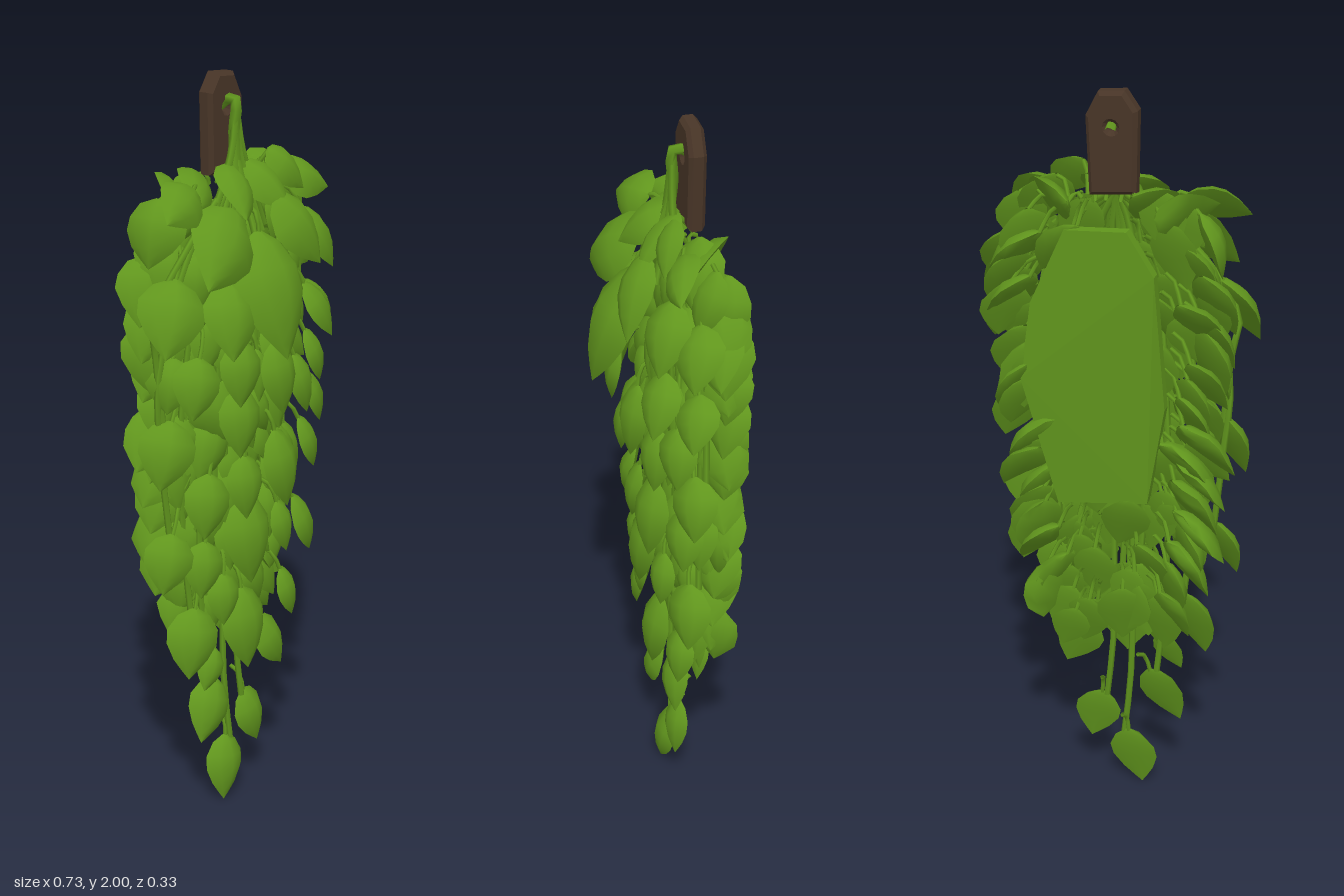
import * as THREE from 'three';

const leafGreen = new THREE.MeshStandardMaterial({ name: 'leafGreen', color: 0x61961d, side: THREE.DoubleSide });
const barkBrown = new THREE.MeshStandardMaterial({ name: 'barkBrown', color: 0x483527 });

// Small seeded generator for the filler foliage
let seed = 7;
const rnd = () => (seed = (seed * 16807) % 2147483647) / 2147483647;
const V = (x, y, z) => new THREE.Vector3(x, y, z);

// Piecewise linear lookup in [key, value] pairs sorted by rising key
function lookup(table, k) {
  if (k <= table[0][0]) return table[0][1];
  for (let i = 1; i < table.length; i++) {
    const [a, va] = table[i - 1], [b, vb] = table[i];
    if (k <= b) return va + (vb - va) * (k - a) / (b - a);
  }
  return table[table.length - 1][1];
}
// Front depth and half width of the hanging mass by height
const FRONT = [[0.2, -0.055], [0.6, -0.005], [1.2, 0.055], [1.4, 0.1], [1.6, 0.075], [1.75, 0]];
const HALF = [[0.4, 0.1], [0.55, 0.17], [0.8, 0.23], [1.2, 0.27], [1.5, 0.29], [1.72, 0.22]];
const surfaceZ = (x, y) => {
  const k = Math.max(0, 1 - Math.abs(x / 0.37) ** 2.6);
  return -0.09 + (lookup(FRONT, y) + 0.09) * k;
};
// Leaf tips swing outwards, most at the crown and at the trailing ends
const swing = (x, y) => x * (y > 1.55 ? 240 : y < 0.45 ? 200 : 60);
// Leaves turn sideways towards the flanks
const turn = (x) => THREE.MathUtils.clamp(x / 0.36, -1, 1) * 0.85;

// Plump pointed leaf with a domed face (+z) and a nearly flat back; tip along -y
function leafGeometry(length, width) {
  const rows = [[0, 0.12], [0.1, 0.62], [0.3, 0.98], [0.5, 0.97], [0.72, 0.66], [0.88, 0.3], [1, 0]];
  const cols = [-1, -0.55, 0, 0.55, 1], pos = [], idx = [];
  for (const bulge of [0.55, -0.08]) {
    const start = pos.length / 3;
    for (const [t, w] of rows) for (const u of cols) {
      const half = w * width / 2;
      pos.push(u * half, length * (0.5 - t),
        Math.sin(Math.PI * t) * length * 0.06 - half * 0.2 + (1 - u * u) * half * bulge);
    }
    for (let r = 0; r < rows.length - 1; r++) for (let c = 0; c < 4; c++) {
      const a = start + r * 5 + c, b = a + 5;
      if (bulge > 0) idx.push(a, b, a + 1, b, b + 1, a + 1);
      else idx.push(a, a + 1, b, b, a + 1, b + 1);
    }
  }
  const g = new THREE.BufferGeometry();
  g.setAttribute('position', new THREE.Float32BufferAttribute(pos, 3));
  g.setIndex(idx);
  return g;
}

function tube(points, radius, segments, name) {
  const curve = new THREE.CatmullRomCurve3(points);
  const m = new THREE.Mesh(new THREE.TubeGeometry(curve, segments, radius, 5), leafGreen);
  m.name = name;
  return m;
}

// Place a leaf and the short stalk that joins it to the vines
function addLeaf(group, x, y, z, length, angle, pitch, yaw) {
  const e = new THREE.Euler(-pitch, yaw, THREE.MathUtils.degToRad(angle), 'ZYX');
  const m4 = new THREE.Matrix4().makeRotationFromEuler(e).setPosition(x, y, z);
  const widen = Math.min(1.25, 1 / Math.cos(yaw * 0.7));
  const g = leafGeometry(length, length * 0.73 * widen).applyMatrix4(m4);
  // Press the foliage flat where it meets the wall
  const p = g.attributes.position;
  for (let i = 0; i < p.count; i++) {
    const back = Math.abs(p.getX(i)) < 0.2 ? -0.142 : -0.17;
    p.setZ(i, Math.max(p.getZ(i), back));
  }
  g.computeVertexNormals();
  const leaf = new THREE.Mesh(g, leafGreen);
  leaf.name = 'leaf';
  const base = V(0, length * 0.47, 0).applyMatrix4(m4);
  base.z = Math.max(base.z, -0.12);
  const root = V(base.x * 0.75, Math.min(base.y + 0.07, 1.72), Math.max(base.z - 0.04, -0.1));
  const mid = base.clone().lerp(root, 0.5).add(V(0, 0.015, 0.01));
  group.add(leaf, tube([base, mid, root], 0.006, 3, 'leafStalk'));
}

// Front leaves: x, y, length
const LEAVES = [
  [-0.03, 1.46, 0.33], [-0.18, 1.6, 0.26], [0.1, 1.6, 0.22], [-0.3, 1.44, 0.21], [-0.17, 1.42, 0.2],
  [-0.25, 1.71, 0.17], [0.14, 1.74, 0.15], [0.23, 1.7, 0.16], [0.23, 1.55, 0.19], [0.31, 1.53, 0.17],
  [0.31, 1.35, 0.15], [0.22, 1.36, 0.17], [0.04, 1.22, 0.2], [-0.12, 1.27, 0.17], [-0.1, 1.13, 0.18],
  [-0.24, 1.25, 0.16], [-0.3, 1.08, 0.18], [0.16, 1.17, 0.17], [0.25, 1.22, 0.16], [0.29, 1.09, 0.17],
  [0.09, 0.95, 0.22], [-0.19, 0.92, 0.17], [-0.06, 0.94, 0.17], [0.25, 0.97, 0.16], [-0.29, 0.78, 0.16],
  [-0.19, 0.74, 0.15], [-0.03, 0.78, 0.24], [0.12, 0.77, 0.15], [0.25, 0.73, 0.18], [-0.21, 0.53, 0.19],
  [-0.11, 0.63, 0.14], [-0.01, 0.51, 0.23], [0.18, 0.55, 0.15], [0.12, 0.42, 0.17], [-0.14, 0.43, 0.12],
  [-0.13, 0.3, 0.18], [0.06, 0.21, 0.17], [-0.05, 0.092, 0.185],
];

export function createModel() {
  const model = new THREE.Group();
  model.name = 'hangingPlant';

  // Wooden hanger plate with a peg hole
  const plate = new THREE.Shape([[-0.055, 1.755], [0.045, 1.745], [0.053, 1.93], [0.025, 1.985], [-0.03, 1.99], [-0.058, 1.95]]
    .map(([x, y]) => new THREE.Vector2(x, y)));
  plate.holes.push(new THREE.Path().absarc(-0.003, 1.91, 0.022, 0, Math.PI * 2, true));
  const hanger = new THREE.Mesh(new THREE.ExtrudeGeometry(plate, {
    depth: 0.025, bevelSize: 0.01, bevelThickness: 0.01, bevelSegments: 1, curveSegments: 6,
  }).translate(0, 0, -0.11), barkBrown);
  hanger.name = 'hangerPlate';
  model.add(hanger);

  // Looped stem threaded through the hole, fanning out below
  const stems = new THREE.Group();
  stems.name = 'hangingStems';
  stems.add(tube([V(0, 1.9, -0.115), V(0, 1.93, -0.08), V(0, 1.93, -0.05), V(-0.005, 1.85, -0.052), V(-0.01, 1.7, -0.035)], 0.015, 12, 'mainStem'));
  for (const [x, z] of [[-0.06, 0.01], [-0.02, 0.03], [0.04, 0], [0.1, -0.04], [-0.12, -0.05]])
    stems.add(tube([V(0, 1.92, -0.05), V(x * 0.2, 1.8, -0.045), V(x, 1.6, z)], 0.01, 8, 'fanStem'));
  model.add(stems);

  // Flat mass against the wall, curling forward at its lower end
  const outline = [[0.11, 1.65], [-0.05, 1.66], [-0.12, 1.55], [-0.15, 1.2], [-0.1, 0.92], [0.14, 0.89], [0.23, 1.24], [0.2, 1.45]];
  const backGeo = new THREE.ExtrudeGeometry(new THREE.Shape(outline.map(([x, y]) => new THREE.Vector2(x, y))),
    { depth: 0.03, bevelEnabled: false }).translate(0, 0, -0.147);
  const bp = backGeo.attributes.position;
  for (let i = 0; i < bp.count; i++) if (bp.getY(i) < 1) bp.setZ(i, bp.getZ(i) + 0.02);
  backGeo.computeVertexNormals();
  const backing = new THREE.Mesh(backGeo, leafGreen);
  backing.name = 'foliageBacking';
  model.add(backing);

  // Trailing vines: end x, end y
  const vines = new THREE.Group();
  vines.name = 'vines';
  for (const [x, y] of [[-0.02, 0.17], [0.03, 0.28], [-0.11, 0.38], [0.09, 0.48], [-0.18, 0.6], [0.18, 0.6],
    [0.23, 0.8], [-0.26, 0.84], [0.28, 1.15], [-0.28, 1.15], [0.0, 0.55], [-0.05, 0.6]]) {
    const midY = (1.72 + y) / 2;
    vines.add(tube([V(0, 1.74, -0.06), V(x * 0.7, 1.6, -0.04), V(x * 1.05 - 0.02, midY, -0.06),
      V(x - 0.02, y + 0.2, -0.065), V(x, y, -0.06)], 0.009, 16, 'vine'));
  }
  model.add(vines);

  // Outer leaves follow the bulging front
  const foliage = new THREE.Group();
  foliage.name = 'foliage';
  for (const [x, y, length] of LEAVES)
    addLeaf(foliage, x, y, surfaceZ(x, y), length, swing(x, y), y > 1.3 ? 0.34 : 0.12, turn(x));

  // Inner leaves fill the depth behind them
  for (let i = 0; i < 100; i++) {
    const y = 0.5 + 1.2 * ((i + rnd()) / 100);
    const x = (rnd() * 2 - 1) * lookup(HALF, y);
    const z = -0.11 + (surfaceZ(x, y) + 0.08) * rnd() * 0.8;
    addLeaf(foliage, x, y, z, 0.13 + rnd() * 0.06, x * 60 + (rnd() - 0.5) * 50, rnd() * 0.35, turn(x) + (rnd() - 0.5) * 0.7);
  }
  // Rear leaves line both flanks against the wall
  for (const side of [-1, 1]) for (let i = 0; i < 18; i++) {
    const y = 0.58 + 1.08 * ((i + rnd()) / 18);
    const x = side * lookup(HALF, y) * (0.8 + rnd() * 0.22);
    addLeaf(foliage, x, y, -0.1 - rnd() * 0.03, 0.15 + rnd() * 0.05, x * 70 + (rnd() - 0.5) * 40, 0.1 + rnd() * 0.2, side * (0.6 + rnd() * 0.6));
  }
  // Nearly level leaves crowning the top
  for (const [x, z] of [[-0.12, -0.08], [-0.19, -0.11], [0.05, 0], [0.17, -0.09], [-0.06, 0]])
    addLeaf(foliage, x, 1.715, z, 0.18, x * 400, 0.75, turn(x));
  model.add(foliage);
  return model;
}
